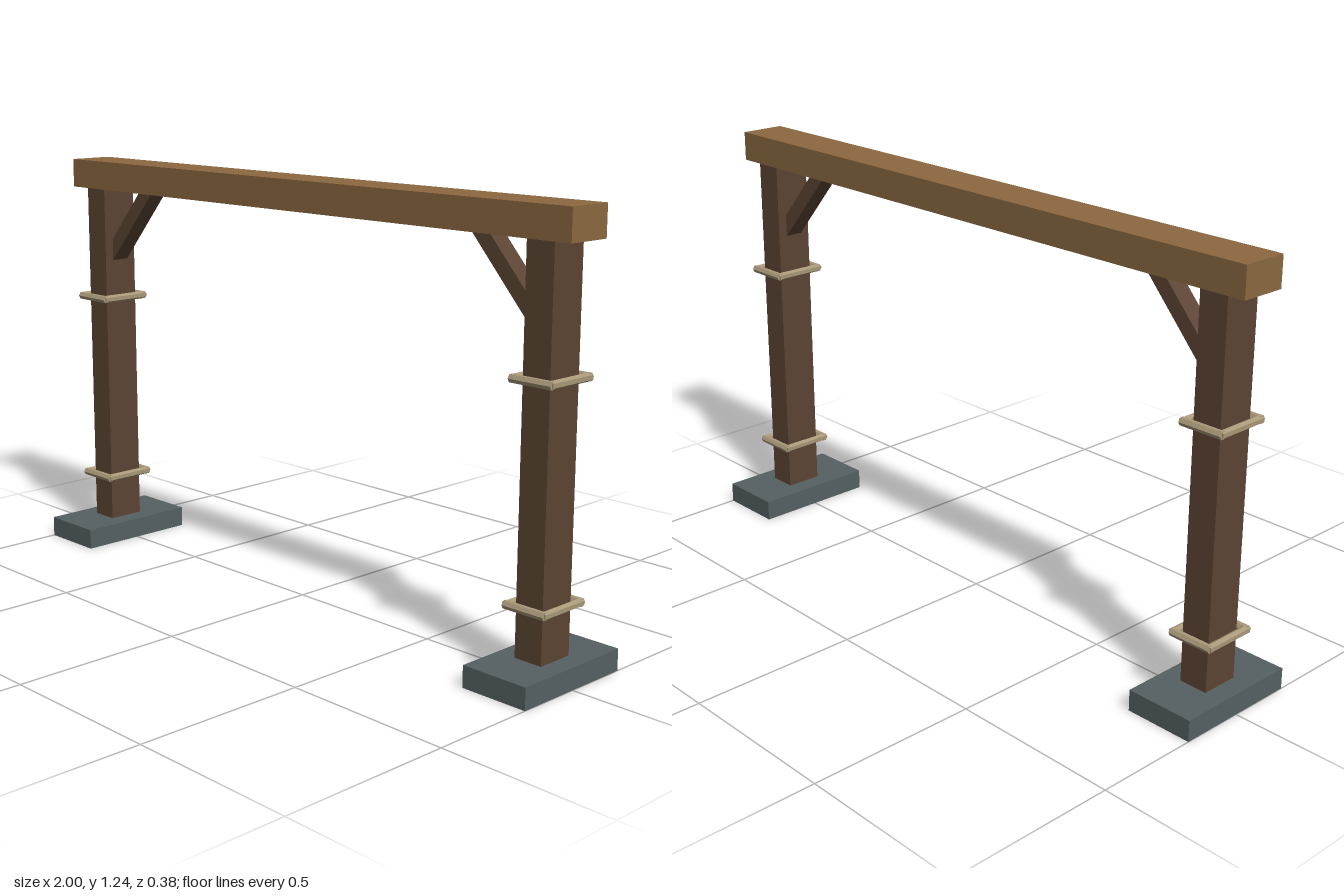
import * as THREE from 'three';

const material = (name, color) => {
  const m = new THREE.MeshStandardMaterial({ color });
  m.name = name;
  return m;
};

export function createModel() {
  const beamWood = material('beamWood', 0x8b6840);
  const darkWood = material('darkWood', 0x5c4433);
  const stone = material('stone', 0x556063);
  const rope = material('rope', 0xa89878);

  const model = new THREE.Group();
  model.name = 'timberGate';

  const box = (parent, name, mat, size, pos) => {
    const mesh = new THREE.Mesh(new THREE.BoxGeometry(...size), mat);
    mesh.name = name;
    mesh.position.set(...pos);
    parent.add(mesh);
    return mesh;
  };

  // Crossbeam spanning both posts
  box(model, 'crossbeam', beamWood, [2, 0.088, 0.138], [0, 1.193, 0]);

  // Four hexagonal bars lashed around a post
  const addBinding = (parent, x, y) => {
    const binding = new THREE.Group();
    binding.name = 'binding';
    binding.position.set(x, y, 0);
    for (const s of [-1, 1]) {
      const across = new THREE.Mesh(new THREE.CylinderGeometry(0.012, 0.012, 0.132, 6).toNonIndexed(), rope);
      across.geometry.computeVertexNormals();
      across.name = 'bindingAcross';
      across.rotation.z = Math.PI / 2;
      across.position.z = s * 0.076;
      const along = new THREE.Mesh(new THREE.CylinderGeometry(0.012, 0.012, 0.16, 6).toNonIndexed(), rope);
      along.geometry.computeVertexNormals();
      along.name = 'bindingAlong';
      along.rotation.x = Math.PI / 2;
      along.position.x = s * 0.06;
      binding.add(across, along);
    }
    parent.add(binding);
  };

  // Mirrored supports: footing, post, diagonal brace and two bindings
  for (const s of [-1, 1]) {
    const support = new THREE.Group();
    support.name = s > 0 ? 'leftSupport' : 'rightSupport';
    box(support, 'footing', stone, [0.204, 0.062, 0.382], [s * 0.898, 0.031, 0]);
    box(support, 'post', darkWood, [0.086, 1.092, 0.114], [s * 0.898, 0.606, 0]);
    const brace = box(support, 'brace', darkWood, [0.325, 0.045, 0.056], [s * 0.767, 1.052, 0]);
    brace.rotation.z = -s * 0.838;
    for (const y of [0.207, 0.799]) addBinding(support, s * 0.898, y);
    model.add(support);
  }

  return model;
}
